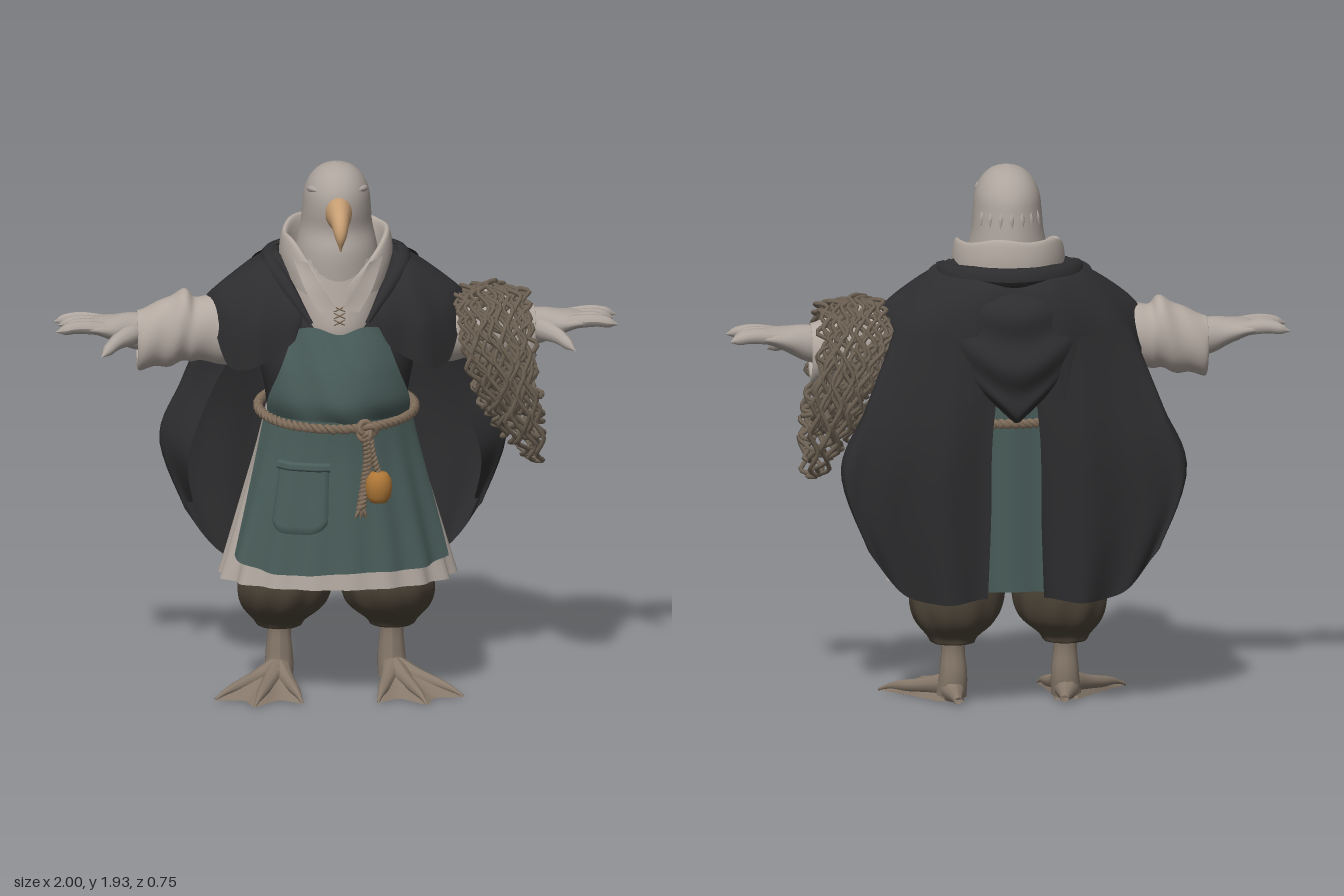
import * as THREE from 'three';
import { mergeVertices } from 'three/addons/utils/BufferGeometryUtils.js';

const { sin, cos, abs, max, min, PI } = Math;
const paint = (name, color) => Object.assign(new THREE.MeshStandardMaterial({ color, side: THREE.DoubleSide }), { name });
const M = {
  cloak: paint('charcoal cloak', 0x2d2d2f), teal: paint('teal apron', 0x485b58),
  linen: paint('linen shirt', 0xb3a9a1), skin: paint('pale feathers', 0xada49d),
  beak: paint('horn beak', 0xc79f74), pants: paint('brown breeches', 0x4c4437),
  foot: paint('grey tan feet', 0x87796b), rope: paint('rope', 0x84715e),
  net: paint('net cord', 0x6f6355), float: paint('amber float', 0xae7737),
};
const V = p => new THREE.Vector3(...p);

// Smooth interpolation through rows of numbers
function mix(rows, t) {
  const f = t * (rows.length - 1), i = min(Math.floor(f), rows.length - 2), k = f - i;
  return rows[0].map((_, c) => {
    const [a, b, d, e] = [-1, 0, 1, 2].map(j => rows[max(0, min(rows.length - 1, i + j))][c]);
    return b + 0.5 * k * (d - a + k * (2 * a - 5 * b + 4 * d - e + k * (3 * (b - d) + e - a)));
  });
}
function add(parent, name, geo, mat) {
  const mesh = new THREE.Mesh(geo, mat);
  mesh.name = name;
  parent.add(mesh);
  return mesh;
}
// Surface from a rule fn(u, v) -> [x, y, z]
function sheet(parent, name, mat, fn, nu = 32, nv = 20) {
  const pos = [], idx = [];
  for (let j = 0; j <= nv; j++) for (let i = 0; i <= nu; i++) pos.push(...fn(i / nu, j / nv));
  for (let j = 0; j < nv; j++) for (let i = 0; i < nu; i++) {
    const a = j * (nu + 1) + i, b = a + nu + 1;
    idx.push(a, a + 1, b, a + 1, b + 1, b);
  }
  let geo = new THREE.BufferGeometry();
  geo.setAttribute('position', new THREE.Float32BufferAttribute(pos, 3));
  geo.setIndex(idx);
  geo = mergeVertices(geo, 1e-5);
  geo.computeVertexNormals();
  return add(parent, name, geo, mat);
}
// Elliptical rings: rows of [y, cx, cz, rx, rz], or [x, cy, cz, ry, rz] along x
function loft(parent, name, mat, rows, fold = () => 0, alongX = false, nu = 40, nv = 28) {
  return sheet(parent, name, mat, (u, v) => {
    const [h, c, cz, r, rz] = mix(rows, v), a = u * 2 * PI, f = 1 + fold(a, v);
    const p = c + r * f * sin(a), z = cz + rz * f * cos(a);
    return alongX ? [h, p, z] : [p, h, z];
  }, nu, nv);
}
// Smooth patch through columns of control points
const patch = (parent, name, mat, cols, ripple = () => 0, nu = 36, nv = 20) =>
  sheet(parent, name, mat, (u, v) => {
    const [x, y, z] = mix(cols.map(c => mix(c, v)), u);
    return [x, y, z + ripple(u, v)];
  }, nu, nv);
// Tube whose radius follows a list
function taper(parent, name, mat, pts, radii, seg = 14, sides = 10) {
  const curve = new THREE.CatmullRomCurve3(pts.map(V)), geo = new THREE.TubeGeometry(curve, seg, 1, sides);
  const pos = geo.attributes.position, p = new THREE.Vector3(), rows = radii.map(r => [r]);
  for (let i = 0; i < pos.count; i++) {
    const t = Math.floor(i / (sides + 1)) / seg, c = curve.getPointAt(t);
    p.fromBufferAttribute(pos, i).sub(c).multiplyScalar(max(0.001, mix(rows, t)[0])).add(c);
    pos.setXYZ(i, p.x, p.y, p.z);
  }
  geo.computeVertexNormals();
  return add(parent, name, geo, mat);
}
// Two-strand twisted rope
function twisted(parent, name, pts, closed, turns, up, r = 0.011) {
  const curve = new THREE.CatmullRomCurve3(pts.map(V), closed), n = turns * 6;
  for (const phase of [0, PI]) {
    const line = [];
    for (let i = 0; i < n + (closed ? 0 : 1); i++) {
      const t = i / n, q = t * turns * 2 * PI + phase, side = curve.getTangentAt(t).cross(V(up));
      line.push(curve.getPointAt(t).addScaledVector(V(up), r * 0.8 * cos(q)).addScaledVector(side, r * 0.8 * sin(q)));
    }
    add(parent, name, new THREE.TubeGeometry(new THREE.CatmullRomCurve3(line, closed), n, r, 5, closed), M.rope);
  }
}

// Head, beak and neck feathers
function head(g) {
  loft(g, 'head', M.skin, [[1.5, 0, 0, .16, .18], [1.62, 0, .01, .145, .172], [1.7, 0, .005, .128, .158], [1.77, 0, .015, .122, .158],
    [1.83, 0, .02, .115, .15], [1.88, 0, .025, .093, .12], [1.915, 0, .03, .055, .072], [1.93, 0, .03, .002, .002]]);
  taper(g, 'beak', M.beak, [[0, 1.775, .12], [0, 1.77, .19], [0, 1.757, .25], [0, 1.72, .283], [0, 1.663, .283]],
    [.066, .058, .044, .029, .003], 24, 16).scale.x = .78;
  for (let r = 0; r < 2; r++) for (let i = -3; i <= 3; i++) {
    const a = PI + (i + r * .5) * .32, y = 1.76 - r * .05;
    taper(g, 'neckFeather', M.skin, [[.115 * sin(a), y + .03, .014 + .148 * cos(a)], [.12 * sin(a), y, .012 + .154 * cos(a)],
      [.129 * sin(a), y - .03, .012 + .163 * cos(a)]], [.003, .009, .001], 6, 6);
  }
}

// Shirt, vest, skirt, apron and belt
const hang = (a, v) => .035 * v * (.35 + .65 * abs(sin(a))) * sin(17 * a + 1.2 * sin(2 * a));
function clothes(g) {
  loft(g, 'vest', M.cloak, [[.95, 0, 0, .24, .2], [1.1, 0, .02, .255, .23], [1.25, 0, .01, .28, .215], [1.4, 0, -.01, .27, .175], [1.53, 0, -.03, .18, .14]]);
  loft(g, 'shirtChest', M.linen, [[1.28, 0, .04, .13, .15], [1.36, 0, .04, .15, .165], [1.47, 0, .03, .175, .16], [1.6, 0, 0, .17, .17]]);
  const roll = [[-.035, -.12], [-.015, -.02], [0, 0], [.012, -.015], [.02, -.08], [.012, -.17]];
  sheet(g, 'collar', M.linen, (u, v) => {
    const a = u * 2 * PI, [dr, dy] = mix(roll, v), c = cos(a);
    const y = 1.67 - .15 * max(0, c) ** 3 + .03 * max(0, -c) + dy;
    return [(.182 + dr) * sin(a), y + .006 * sin(5 * a), -.027 + (.198 + dr) * c];
  }, 48, 16);
  for (const s of [-1, 1]) // collar lapels
    patch(g, 'lapel', M.linen, [[[.16 * s, 1.6, .1], [.12 * s, 1.5, .17], [.07 * s, 1.42, .205]],
      [[.11 * s, 1.59, .15], [.06 * s, 1.51, .195], [.012 * s, 1.44, .21]]], undefined, 8, 10);
  for (let i = 0; i < 3; i++) for (const s of [-1, 1]) // chest laces
    taper(g, 'lace', M.rope, [[-.02 * s, 1.375 + i * .025, .205], [0, 1.385 + i * .025, .21], [.02 * s, 1.395 + i * .025, .203]], [.002, .003, .002], 4, 5);
  loft(g, 'shirtSkirt', M.linen, [[1.05, 0, .02, .25, .225], [.9, 0, .03, .285, .235], [.7, 0, .04, .34, .245], [.43, 0, .05, .415, .262]], hang, false, 120);

  const rows = [[1.04, 0, .03, .275, .258], [.9, 0, .04, .31, .255], [.7, 0, .045, .365, .275], [.49, 0, .05, .425, .298]];
  const apron = (s, v, out = 0) => {
    const a = s * (1.25 - .14 * v), [y, , cz, rx, rz] = mix(rows, v), f = 1 + hang(a, v) * .9;
    return [(rx + out) * f * sin(a), y + v * .04 * s * s + .01 * v * sin(4 * a + 1), cz + (rz + out) * f * cos(a)];
  };
  sheet(g, 'apronSkirt', M.teal, (u, v) => apron(u * 2 - 1, v), 80, 24);
  sheet(g, 'pocket', M.teal, (u, v) => {
    const e = abs(2 * u - 1) ** 4 * v * .05;
    return apron(-.62 + .51 * u, .36 + (.4 - e) * v, u < .01 || u > .99 || v > .99 ? .001 : .009);
  }, 24, 20);
  sheet(g, 'pocketHem', M.teal, (u, v) => apron(-.63 + .53 * u, .35 + .06 * v, v > .95 || v < .05 ? .003 : .014), 20, 6);
  const bib = [[1.03, .25, .285, .16], [1.1, .252, .308, .15], [1.2, .215, .285, .1], [1.28, .185, .252, .07], [1.355, .16, .218, .05]];
  sheet(g, 'apronBib', M.teal, (u, v) => {
    const [y, w, z, c] = mix(bib, v), s = 2 * u - 1;
    return [w * s, y - .012 * v * cos(s * 5), z - c * s * s + .005 * sin(9 * s + 8 * v)];
  });
  sheet(g, 'apronBack', M.teal, (u, v) => [(u - .5) * .26, 1.2 - .76 * v, -.262 - .012 * v + .006 * sin(u * 9)], 14, 12);

  const belt = [];
  for (let i = 0; i < 24; i++) belt.push([.278 * sin(i * PI / 12), 1.035 - .015 * cos(i * PI / 12), .015 + .295 * cos(i * PI / 12)]);
  twisted(g, 'ropeBelt', belt, true, 36, [0, 1, 0]);
  const knot = add(g, 'beltKnot', new THREE.TorusKnotGeometry(.022, .012, 48, 6), M.rope);
  knot.position.set(.09, 1.015, .315);
  twisted(g, 'ropeTail', [[.085, 1.01, .32], [.095, .93, .322], [.085, .83, .324], [.07, .735, .335]], false, 9, [1, 0, 0]);
  twisted(g, 'floatCord', [[.1, 1.01, .32], [.11, .94, .325], [.132, .86, .328]], false, 5, [1, 0, 0], .008);
  for (let i = -1; i <= 1; i++) taper(g, 'ropeFray', M.rope, [[.07, .74, .335], [.07 + i * .012, .72, .338], [.068 + i * .02, .7, .34]], [.01, .009, .002], 4, 5);
  const prof = [[0, -.058], [.03, -.056], [.044, -.035], [.049, 0], [.045, .03], [.03, .05], [0, .055]];
  add(g, 'float', new THREE.LatheGeometry(prof.map(p => new THREE.Vector2(...p)), 18), M.float).position.set(.132, .815, .33);
}

// Hood lying on the back, with draped V folds
function hood(g) {
  const rows = [[1.61, .2, -.2, -.06], [1.57, .29, -.27, -.06], [1.46, .3, -.33, -.19], [1.32, .235, -.355, -.27], [1.18, .13, -.355, -.305], [1.06, .01, -.32, -.31]];
  sheet(g, 'hood', M.cloak, (u, v) => {
    const [y, w, zc, zs] = mix(rows, v), s = 2 * u - 1, drape = 1 - s * s;
    return [w * s, y - .04 * drape * sin(PI * v), zc + (zs - zc) * s * s - .012 * drape * sin(v * 22 + 4 * s * s)];
  }, 32, 40);
  taper(g, 'hoodRoll', M.cloak, [[.1, 1.38, .195], [.18, 1.49, .105], [.235, 1.56, -.01], [.2, 1.568, -.14], [0, 1.568, -.24], [-.2, 1.568, -.14],
    [-.235, 1.56, -.01], [-.18, 1.49, .105], [-.1, 1.38, .195]], [.008, .028, .034, .036, .04, .036, .034, .028, .008], 48, 10);
}

// One side of the body, built for +x
function half(g) {
  taper(g, 'brow', M.skin, [[.055, 1.845, .14], [.09, 1.847, .095], [.108, 1.832, .02]], [.003, .012, .003]);
  patch(g, 'mantle', M.cloak, [
    [[.19, 1.58, .04], [.16, 1.5, .11], [.13, 1.42, .165], [.14, 1.33, .175]],
    [[.2, 1.59, .01], [.23, 1.5, .11], [.25, 1.38, .165], [.25, 1.24, .175]],
    [[.21, 1.6, -.01], [.3, 1.52, .06], [.36, 1.38, .115], [.39, 1.21, .12]],
    [[.21, 1.6, -.05], [.33, 1.535, -.03], [.42, 1.47, -.02], [.46, 1.43, -.03]],
    [[.2, 1.6, -.1], [.3, 1.53, -.14], [.4, 1.38, -.18], [.44, 1.2, -.19]],
    [[.12, 1.59, -.2], [.16, 1.53, -.26], [.2, 1.4, -.29], [.22, 1.15, -.295]],
    [[0, 1.59, -.22], [0, 1.52, -.28], [0, 1.4, -.3], [0, 1.12, -.3]]], (u, v) => .008 * v * sin(u * 34), 60);
  patch(g, 'cape', M.cloak, [
    [[.05, 1.3, -.29], [.085, 1, -.3], [.09, .7, -.295], [.1, .42, -.285]],
    [[.2, 1.35, -.29], [.25, 1, -.315], [.27, .7, -.305], [.25, .4, -.29]],
    [[.36, 1.38, -.23], [.42, 1, -.28], [.46, .7, -.27], [.39, .43, -.245]],
    [[.42, 1.38, -.18], [.53, 1.05, -.255], [.58, .8, -.265], [.5, .56, -.25]],
    [[.42, 1.3, -.12], [.52, 1.1, -.18], [.615, .88, -.205], [.53, .62, -.21]],
    [[.36, 1.2, -.1], [.44, 1.05, -.12], [.52, .82, -.105], [.5, .64, -.17]]], (u, v) => .012 * v * sin(u * 26), 60);
  loft(g, 'sleeve', M.linen, [[.26, 1.31, -.03, .12, .11], [.4, 1.31, -.03, .125, .11], [.49, 1.31, -.03, .115, .1], [.53, 1.325, -.03, .128, .105],
    [.58, 1.31, -.03, .128, .103], [.64, 1.29, -.03, .115, .095], [.7, 1.275, -.03, .108, .087], [.7, 1.28, -.03, .085, .07], [.64, 1.29, -.03, .06, .055]],
    (a, v) => .035 * sin(v * 30 + 2 * sin(a)), true, 32, 48);
  loft(g, 'hand', M.skin, [[.6, 1.29, -.03, .07, .06], [.72, 1.308, -.025, .066, .062], [.79, 1.322, -.015, .046, .082],
    [.85, 1.333, -.012, .03, .09], [.9, 1.335, -.012, .018, .075], [.915, 1.335, -.012, .002, .02]], undefined, true, 24, 20);
  [-.08, -.035, .012, .055].forEach((z, i) => taper(g, 'finger', M.skin,
    [[.82, 1.333, z * .85], [.92, 1.342, z], [.999 - .012 * (i % 3), 1.328, z * 1.12]], [.024, .024, .024, .023, .021, .018, .002]));
  taper(g, 'thumb', M.skin, [[.73, 1.305, .015], [.79, 1.29, .085], [.842, 1.255, .148]], [.04, .036, .03, .024, .019, .002]);

  // Breeches, shin and webbed foot
  loft(g, 'breeches', M.pants, [[.25, .2, -.045, .03, .03], [.22, .2, -.045, .072, .07], [.245, .2, -.04, .092, .088], [.3, .19, -.03, .145, .145],
    [.37, .185, -.022, .167, .173], [.46, .175, -.02, .16, .17], [.62, .15, 0, .14, .15]], (a, v) => .03 * sin(9 * a + 4 * v) * sin(PI * v), false, 48);
  taper(g, 'shin', M.foot, [[.2, .3, -.05], [.2, .18, -.05], [.2, .09, -.05], [.205, .03, -.035]], [.06, .043, .05, .055]);
  taper(g, 'heel', M.foot, [[.21, .055, -.02], [.2, .045, -.08], [.19, .022, -.13]], [.045, .042, .015]);
  const tips = [[.135, .26], [.305, .3], [.44, .19]];
  const rim = [[.16, -.07], [.165, .03], [.15, .15], tips[0], [.215, .215], tips[1], [.34, .21], tips[2], [.33, .06], [.25, -.05]];
  for (const top of [.085, .006]) // upper and under side of the web
    patch(g, 'footWeb', M.foot, rim.map(([x, z]) => [[.205, top, -.03], [.5 * (.205 + x), .55 * top, .5 * (z - .03)], [x, .006, z]]), undefined, 54, 8);
  for (const [x, z] of tips) taper(g, 'toe', M.foot, [[.205, .065, -.03], [.205 + (x - .205) * .5, .04, z * .5 - .015],
    [.205 + (x - .205) * .85, .024, z * .85], [x, .008, z]], [.045, .028, .02, .005]);
}

// Fishing net looped over the left arm, longer toward the hand
function net(g) {
  for (const [n, size, turn] of [[8, 1, 0], [8, .88, .26], [7, .74, .5], [5, .6, .1]]) for (let k = 0; k < n; k++) {
    const s = (2 * k + 1) / n - 1, pts = [];
    const top = 1.465 - .05 * (1 - size) - .04 * s * s, bottom = top - size * (.38 + .24 * min(1, (s + 1) / 1.4) ** .8);
    for (let i = 0; i < 48; i++) {
      const t = i * PI / 24, c = cos(t), low = (1 - c) / 2;
      const x = .54 + .08 * low + (.135 - .025 * low) * (s + (k % 2 ? 1.05 : -1.05) / n * sin(12 * t + turn * 12));
      const wob = 1 + .035 * sin(5 * t + k * 2 + turn * 9);
      const wide = (.19 - .05 * (1 - size)) * (1 - .08 * s * s) * wob;
      pts.push(V([x + .012 * sin(3 * t + k), (top + bottom) / 2 + (top - bottom) / 2 * c * wob, -.01 + wide * sin(t)]));
    }
    add(g, 'netCord', new THREE.TubeGeometry(new THREE.CatmullRomCurve3(pts, true), 96, .0085, 5, true), M.net);
  }
}

export function createModel() {
  const model = new THREE.Group();
  model.name = 'birdFisher';
  const part = (name, build) => {
    const g = new THREE.Group();
    g.name = name;
    build(g);
    model.add(g);
    return g;
  };
  part('headGroup', head);
  part('clothes', clothes);
  part('hoodGroup', hood);
  part('leftSide', half);
  part('rightSide', half).scale.x = -1;
  part('fishingNet', net);
  return model;
}
